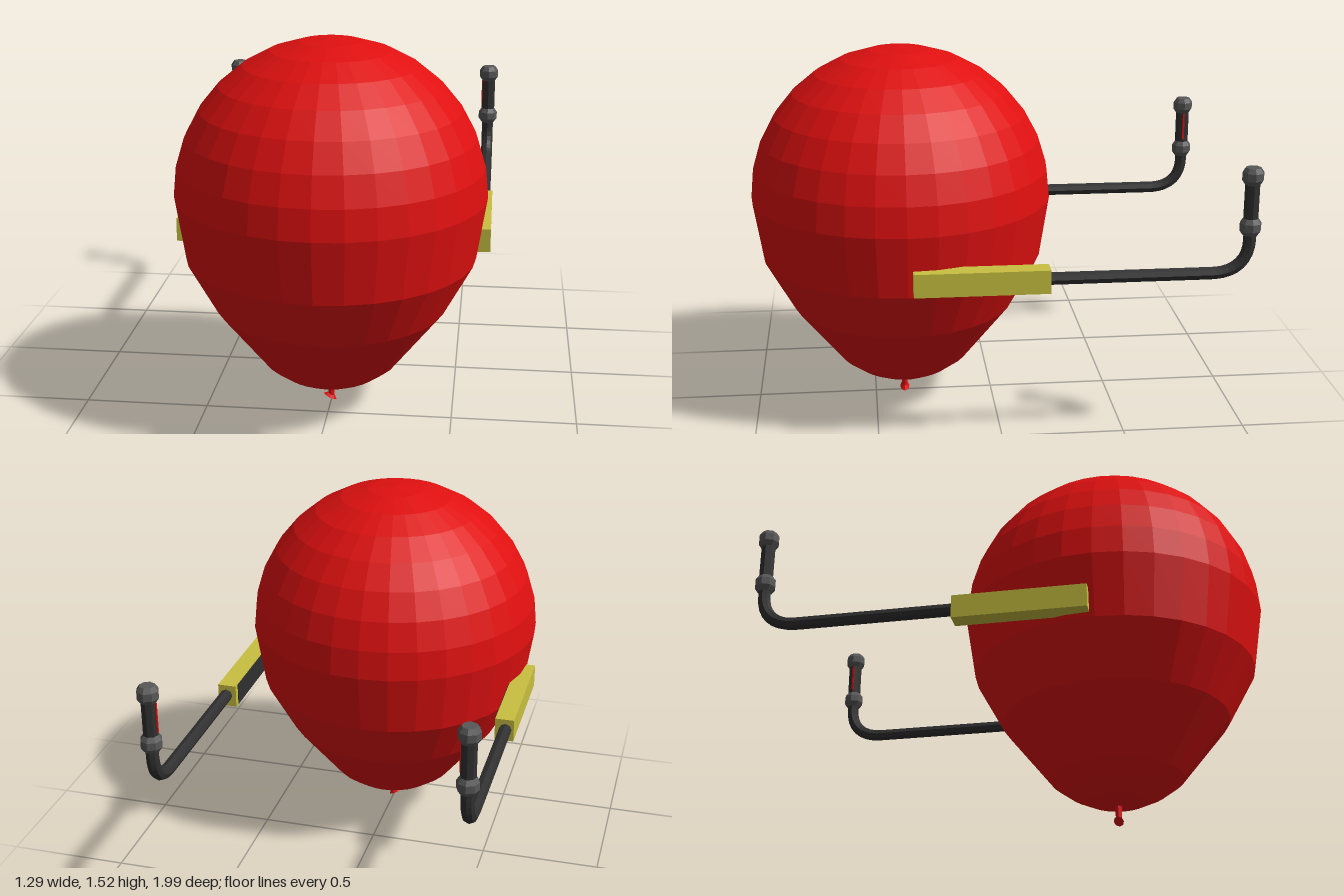
import * as THREE from 'three';

const material = (color) => new THREE.MeshStandardMaterial({ color, flatShading: true, side: THREE.DoubleSide });

function add(parent, name, geometry, mat, x = 0, y = 0, z = 0) {
  const mesh = new THREE.Mesh(geometry, mat);
  mesh.name = name;
  mesh.position.set(x, y, z);
  parent.add(mesh);
  return mesh;
}

export function createModel() {
  const red = material(0xe01010);
  const yellow = material(0xc8c040);
  const dark = material(0x303030);
  const grey = material(0x585858);
  const model = new THREE.Group();
  model.name = 'balloonWithHandles';

  // Balloon: tapered underside below a faceted hemisphere
  const radius = 0.62, equator = 0.9, centreZ = 0.375;
  const profile = [
    [0, 0.078], [0.06, 0.083], [0.12, 0.099], [0.2, 0.138], [0.27, 0.19],
    [0.465, 0.435], [0.58, 0.645],
  ].map(([x, y]) => new THREE.Vector2(x, y));
  for (let i = 0; i <= 8; i++) {
    const a = (i / 8) * Math.PI / 2;
    profile.push(new THREE.Vector2(i === 8 ? 0 : radius * Math.cos(a), equator + radius * Math.sin(a)));
  }
  add(model, 'balloon', new THREE.LatheGeometry(profile, 32), red, 0, 0, centreZ);

  // Tied neck with a slanted lip
  const knot = new THREE.Group();
  knot.name = 'knot';
  knot.position.z = centreZ;
  model.add(knot);
  add(knot, 'neck', new THREE.CylinderGeometry(0.014, 0.012, 0.07, 8), red, 0, 0.056, 0);
  const lip = add(knot, 'lip', new THREE.CylinderGeometry(0.012, 0.029, 0.016, 8), red, -0.002, 0.023, 0);
  lip.rotation.z = -0.45;
  lip.scale.z = 0.7;

  // One handle assembly on each side
  for (const side of [-1, 1]) {
    const arm = new THREE.Group();
    arm.name = side > 0 ? 'leftArm' : 'rightArm';
    arm.position.x = side * 0.6;
    model.add(arm);

    // Mounting block with a dark panel facing inwards
    add(arm, 'mountBlock', new THREE.BoxGeometry(0.078, 0.095, 0.53), yellow, side * -0.004, 0.7125, 0.09);
    add(arm, 'innerPanel', new THREE.BoxGeometry(0.004, 0.09, 0.5), dark, side * -0.044, 0.7125, 0.1);

    // Rod bending upwards into the grip
    const path = new THREE.CurvePath();
    const p = (y, z) => new THREE.Vector3(0, y, z);
    path.add(new THREE.LineCurve3(p(0.715, -0.15), p(0.715, -0.81)));
    path.add(new THREE.CubicBezierCurve3(p(0.715, -0.81), p(0.715, -0.9), p(0.76, -0.955), p(0.85, -0.955)));
    path.add(new THREE.LineCurve3(p(0.85, -0.955), p(0.9, -0.955)));
    add(arm, 'rod', new THREE.TubeGeometry(path, 36, 0.026, 8), dark);

    // Grip between two faceted collars
    add(arm, 'grip', new THREE.CylinderGeometry(0.03, 0.03, 0.2, 8), dark, 0, 1.0, -0.955);
    const collar = [[0, -0.034], [0.03, -0.034], [0.043, -0.015], [0.043, 0.015], [0.03, 0.034], [0, 0.034]]
      .map(([x, y]) => new THREE.Vector2(x, y));
    for (const [name, y] of [['lowerCollar', 0.903], ['topCap', 1.106]]) {
      add(arm, name, new THREE.LatheGeometry(collar, 8), grey, 0, y, -0.955);
    }

    // Thin red strip on the inside of the grip
    add(arm, 'gripStrip', new THREE.BoxGeometry(0.006, 0.12, 0.008), red, side * -0.029, 1.01, -0.955);
  }
  return model;
}
